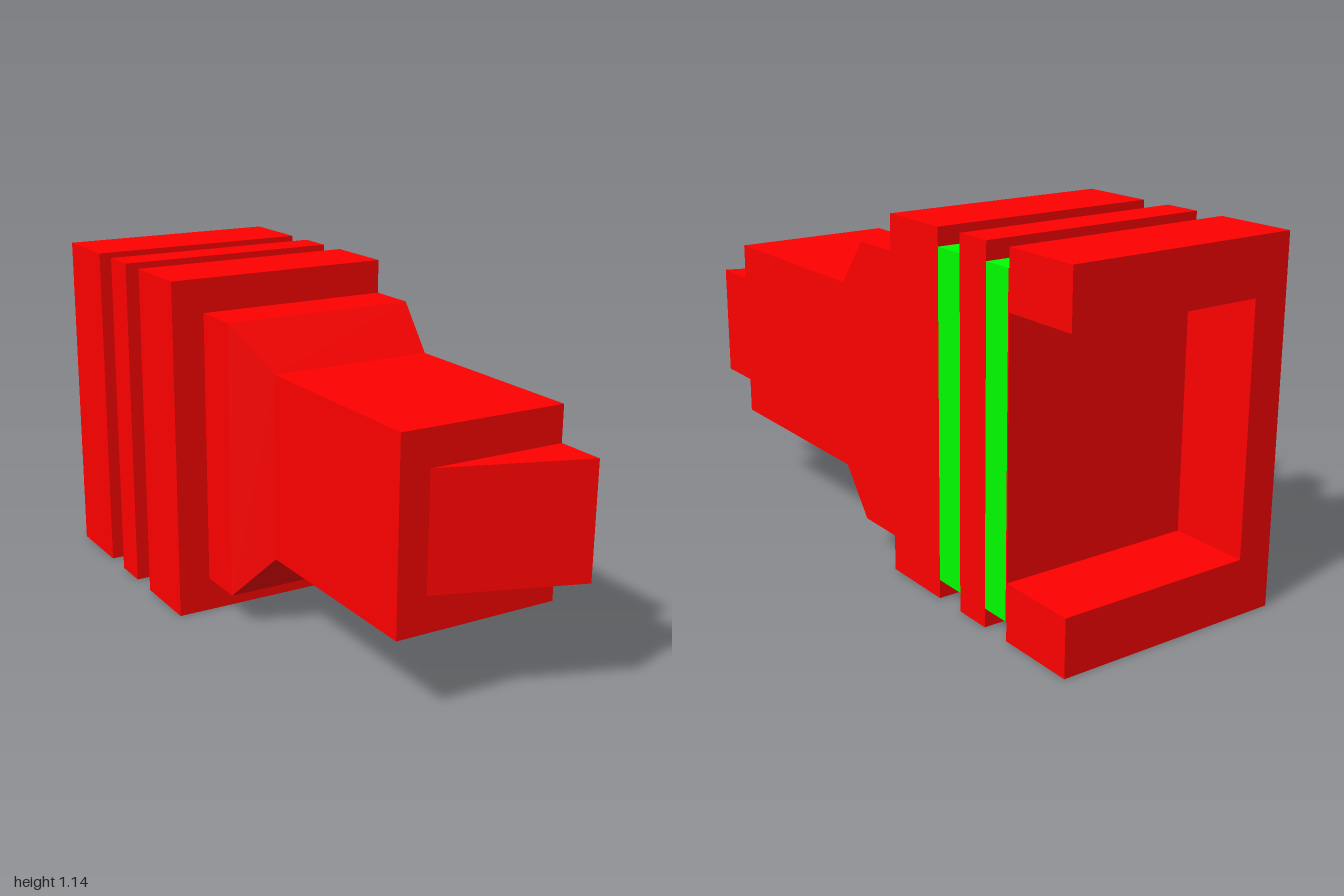
import * as THREE from 'three';

const CUT = 0.385; // flat cut plane shared by every part on the +x side
const red = new THREE.MeshStandardMaterial({ color: 0xff0000, flatShading: true });
const green = new THREE.MeshStandardMaterial({ color: 0x00ff00, flatShading: true });

// Block from z0 (back) to z1 (front); each end section is [xMin, yMin, yMax]
function block(name, z0, z1, back, front = back, material = red) {
  const geo = new THREE.BoxGeometry(1, 1, 1);
  const p = geo.attributes.position;
  for (let i = 0; i < p.count; i++) {
    const atFront = p.getZ(i) > 0;
    const [xMin, yMin, yMax] = atFront ? front : back;
    p.setXYZ(i, p.getX(i) > 0 ? CUT : xMin, p.getY(i) > 0 ? yMax : yMin, atFront ? z1 : z0);
  }
  geo.computeVertexNormals();
  const mesh = new THREE.Mesh(geo, material);
  mesh.name = name;
  return mesh;
}

// Straight extrusion of a closed outline
function extrude(name, points, depth) {
  const shape = new THREE.Shape(points.map(([x, y]) => new THREE.Vector2(x, y)));
  const mesh = new THREE.Mesh(new THREE.ExtrudeGeometry(shape, { depth, bevelEnabled: false }), red);
  mesh.name = name;
  return mesh;
}

export function createModel() {
  const group = new THREE.Group();
  group.name = 'halfConnector';

  const flange = [-0.385, 0, 1.14];
  const groove = [-0.33, 0.06, 1.083];
  const collar = [-0.275, 0.115, 1.028];
  const nose = [-0.175, 0.265, 0.878];

  // Nose, tapered shoulder and collar
  group.add(
    block('noseBody', 0.14, 0.837, nose),
    block('taperedShoulder', 0.022, 0.14, collar, nose),
    block('collar', -0.147, 0.022, collar),
  );

  // Flanges separated by recessed green bands
  group.add(
    block('frontFlange', -0.4, -0.147, flange),
    block('frontBand', -0.508, -0.4, groove, groove, green),
    block('middleFlange', -0.633, -0.508, flange),
    block('rearBand', -0.733, -0.633, groove, groove, green),
    block('socketFloor', -0.738, -0.733, groove),
  );

  // Rear socket frame, open to the back and to the cut side
  const frame = extrude('rearSocketFrame', [
    [CUT, 0], [CUT, 0.18], [-0.265, 0.18], [-0.265, 0.963],
    [CUT, 0.963], [CUT, 1.14], [-0.385, 1.14], [-0.385, 0],
  ], 0.263);
  frame.position.z = -1;
  group.add(frame);

  // Slanted latch wedge on the nose tip
  const wedge = extrude('tipWedge', [[-0.075, -0.837], [CUT, -1], [CUT, -0.837]], 0.378);
  wedge.geometry.rotateX(-Math.PI / 2);
  wedge.position.y = 0.382;
  group.add(wedge);

  return group;
}
